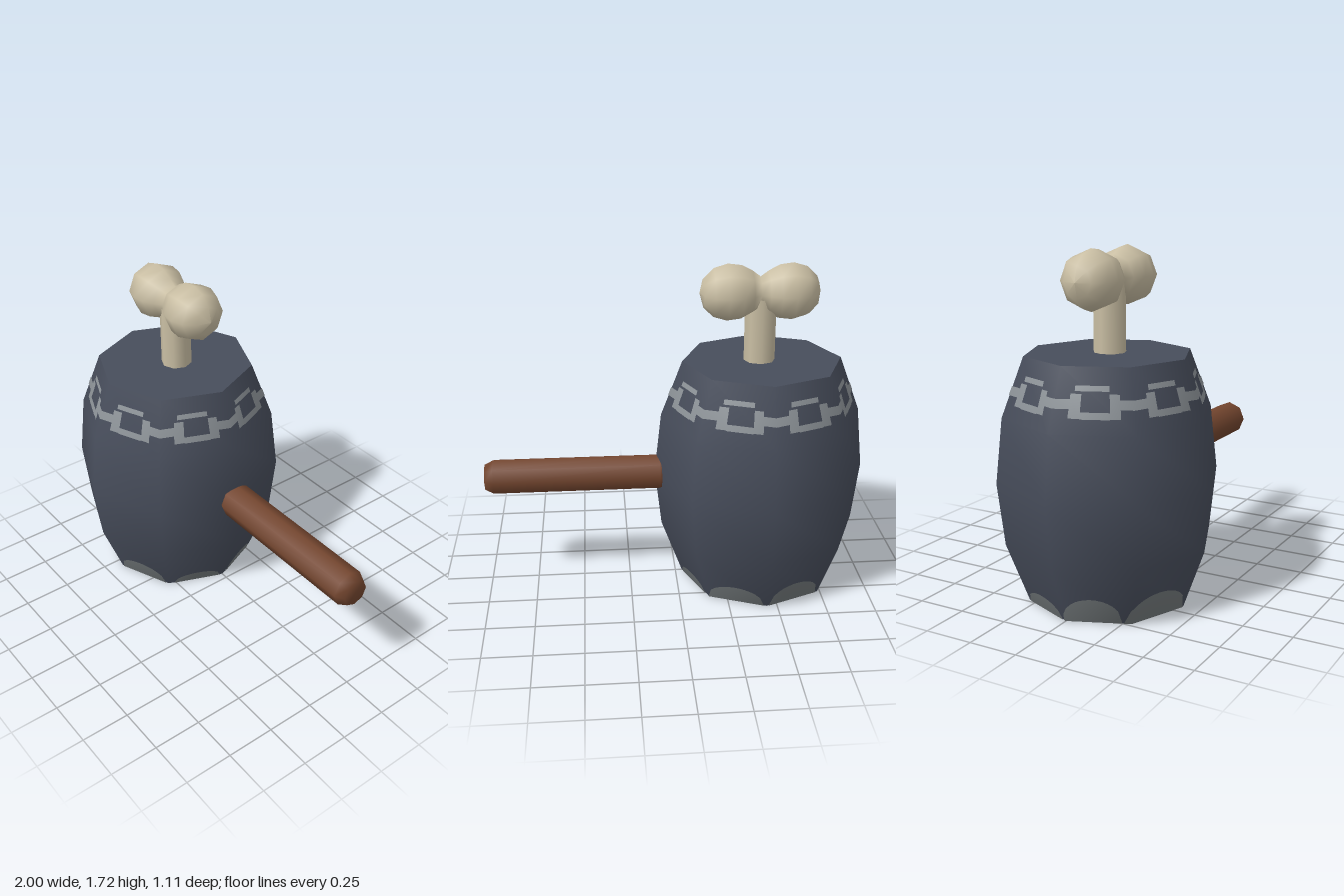
import * as THREE from 'three';

const mat = (name, color) => {
  const m = new THREE.MeshStandardMaterial({ color });
  m.name = name;
  return m;
};

const CX = -0.445; // barrel axis
const PROFILE = [[0.41, 0.003], [0.52, 0.3], [0.555, 0.61], [0.52, 0.93], [0.41, 1.22]];

// barrel radius at a height
function radiusAt(y) {
  const i = Math.max(1, PROFILE.findIndex((p) => y <= p[1]));
  const [r0, y0] = PROFILE[i - 1], [r1, y1] = PROFILE[i];
  return r0 + (r1 - r0) * (y - y0) / (y1 - y0);
}

// point on the eight-sided wall; u counts sides from the front corner towards +x
function wallPoint(u, y) {
  const k = Math.floor(u), f = u - k, r = radiusAt(y) + 0.004;
  const a = k * Math.PI / 4, b = a + Math.PI / 4;
  return [
    r * (Math.sin(a) * (1 - f) + Math.sin(b) * f), y,
    r * (Math.cos(a) * (1 - f) + Math.cos(b) * f),
  ];
}

// painted patch that follows the wall between a base height and a top curve
function addPatch(data, u0, u1, low, high, steps) {
  const us = [];
  for (let i = 0; i <= steps; i++) us.push(u0 + (u1 - u0) * i / steps);
  for (let k = Math.ceil(u0); k < u1; k++) if (!us.includes(k)) us.push(k);
  us.sort((a, b) => a - b);
  us.forEach((u, i) => {
    const t = THREE.MathUtils.clamp((u - u0) / (u1 - u0), 0, 1);
    const base = data.pos.length / 3;
    for (const y of [low, high(t)]) {
      const p = wallPoint(u, y);
      const n = new THREE.Vector3(p[0], (y - 0.61) * 0.3, p[2]).normalize();
      data.pos.push(...p);
      data.nor.push(n.x, n.y, n.z);
    }
    if (i < us.length - 1) data.idx.push(base, base + 2, base + 1, base + 1, base + 2, base + 3);
  });
}

function patchMesh(name, data, material) {
  const g = new THREE.BufferGeometry();
  g.setAttribute('position', new THREE.Float32BufferAttribute(data.pos, 3));
  g.setAttribute('normal', new THREE.Float32BufferAttribute(data.nor, 3));
  g.setIndex(data.idx);
  const m = new THREE.Mesh(g, material);
  m.name = name;
  return m;
}

const lathe = (pts) => new THREE.LatheGeometry(pts.map(([r, y]) => new THREE.Vector2(r, y)), 8);

export function createModel() {
  const slate = mat('slate', 0x474d5b);
  const gray = mat('worn gray', 0x73797b);
  const chainGray = mat('chain gray', 0x8d9398);
  const bone = mat('bone', 0xcabfa4);
  const wood = mat('wood', 0x74462f);
  const purple = mat('dark purple', 0x241836);

  const model = new THREE.Group();
  const barrel = new THREE.Group();
  barrel.name = 'barrel';
  barrel.position.x = CX;
  model.add(barrel);
  const add = (parent, name, geo, material, x = 0, y = 0) => {
    const m = new THREE.Mesh(geo, material);
    m.name = name;
    m.position.set(x, y, 0);
    parent.add(m);
  };

  // barrel wall and ends
  add(barrel, 'wall', lathe(PROFILE), slate);
  add(barrel, 'topEnd', new THREE.CircleGeometry(0.41, 8).rotateX(-Math.PI / 2), slate, 0, 1.22);
  add(barrel, 'bottomEnd', new THREE.CircleGeometry(0.41, 8).rotateX(Math.PI / 2), gray, 0, 0.003);

  // painted chain: one open link per side, joined across each corner
  const chain = { pos: [], nor: [], idx: [] };
  const LINK = [
    [-0.22, 0.23, 1.04, 1.082], // bar across the corner
    [0.2, 0.34, 1.0, 1.105],    // link sides
    [0.7, 0.83, 1.0, 1.105],
    [0.34, 0.7, 0.997, 1.027],  // link bottom
    [0.25, 0.7, 1.116, 1.14],   // link top
  ];
  for (let k = 0; k < 8; k++) {
    for (const [a, b, y0, y1] of LINK) addPatch(chain, k + a, k + b, y0, () => y1, 1);
  }
  barrel.add(patchMesh('chain', chain, chainGray));

  // worn scallops around the foot: start, end, height
  const worn = { pos: [], nor: [], idx: [] };
  const SCALLOPS = [
    [0.03, 0.95, 0.11], [1.1, 1.95, 0.065], [2.08, 2.9, 0.07], [3.0, 3.95, 0.1],
    [4.03, 4.95, 0.12], [5.05, 5.95, 0.08], [5.98, 6.86, 0.13], [6.88, 7.97, 0.14],
  ];
  for (const [a, b, h] of SCALLOPS) {
    addPatch(worn, a, b, 0.003, (t) => 0.003 + h * Math.sqrt(4 * t * (1 - t)), 12);
  }
  barrel.add(patchMesh('footScallops', worn, gray));

  // ring and three spots painted underneath
  add(barrel, 'bottomRing', new THREE.RingGeometry(0.325, 0.36, 40).rotateX(Math.PI / 2), purple);
  const SPOTS = [
    [[-35, 6], [-29, 14], [-15, 16], [3, 12], [-3, 8], [-15, -1], [-29, 1]],
    [[10, 7], [25, 13], [37, 12], [36, 7], [23, 2], [12, 2]],
    [[-23, -14], [-15, -5], [-1, -10], [-3, -16], [-11, -20], [-19, -19]],
  ];
  for (const spot of SPOTS) {
    const pts = spot.map(([a, b]) => {
      const r = a / 155 * 0.707, t = b / 82 * 0.707;
      return new THREE.Vector2(t - r, -r - t);
    });
    add(barrel, 'bottomSpot', new THREE.ShapeGeometry(new THREE.Shape(pts)).rotateX(Math.PI / 2), purple);
  }

  // bone stopper: stem and double knob
  const half = [[0, 0.305], [0.075, 0.285], [0.125, 0.235], [0.146, 0.165], [0.137, 0.095], [0.108, 0.04]];
  const knob = [...half.map(([r, y]) => [r, -y]), [0.078, 0], ...half.slice().reverse()];
  add(model, 'boneStem', new THREE.CylinderGeometry(0.08, 0.08, 0.35, 8, 1, true), bone, -0.43, 1.375);
  add(model, 'boneKnobs', lathe(knob).rotateZ(-Math.PI / 2), bone, -0.425, 1.575);

  // wooden handle with a bevelled tip
  const rod = [[0, 0.05], [0.075, 0.05], [0.094, 0.085], [0.094, 0.955], [0.07, 1.0], [0, 1.0]];
  add(model, 'handle', lathe(rod).rotateZ(-Math.PI / 2), wood, 0, 0.607);

  return model;
}
